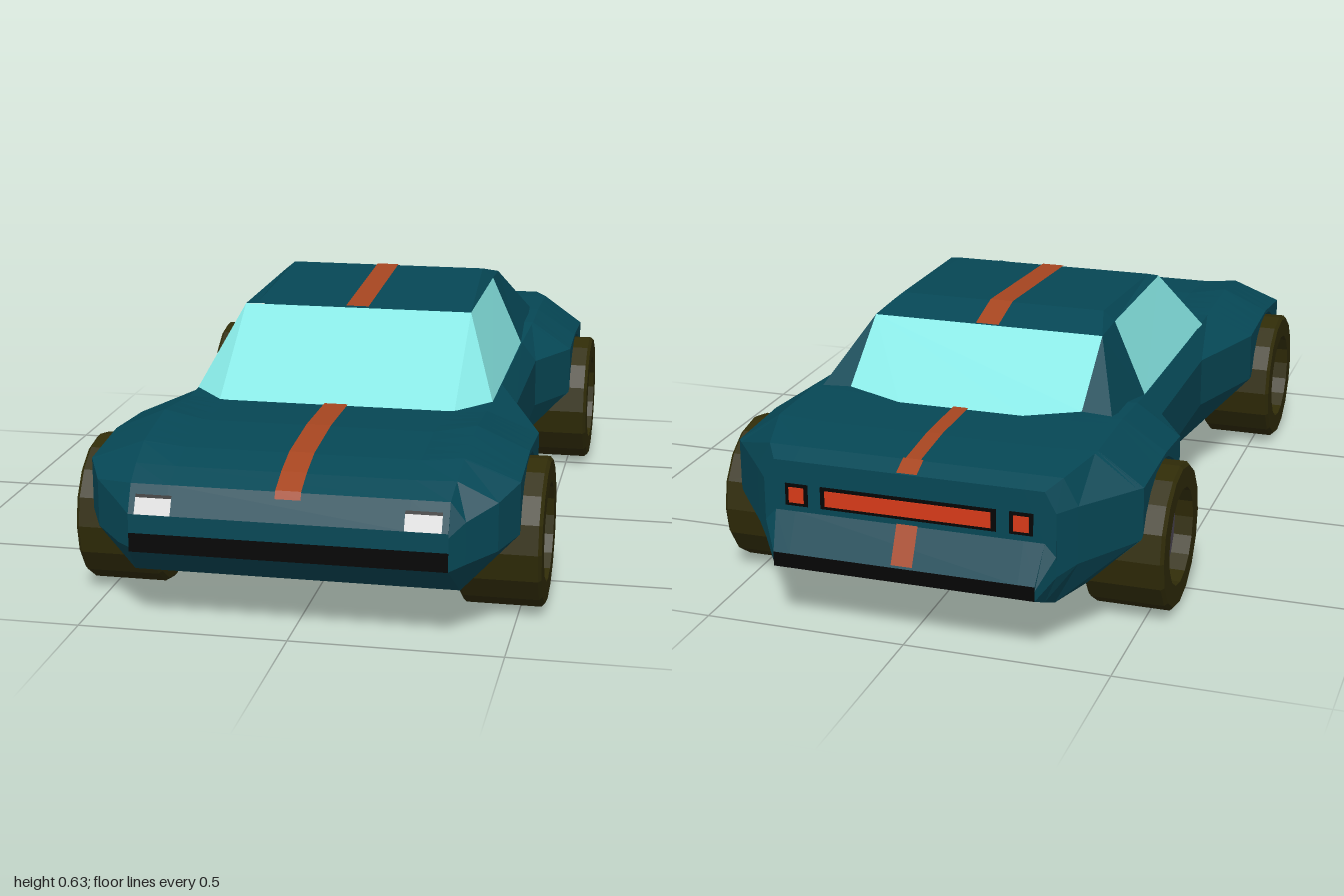
import * as THREE from 'three';

const mat = (name, color) => {
  const m = new THREE.MeshStandardMaterial({ color });
  m.name = name;
  return m;
};
const M = {
  body: mat('teal paint', 0x064755),
  glass: mat('pale glass', 0x86e6e3),
  stripe: mat('orange stripe', 0xa64520),
  tyre: mat('dark tyre', 0x302c08),
  hub: mat('grey hub', 0x4c4753),
  black: mat('black trim', 0x050505),
  red: mat('red panel', 0xd83a18),
  lamp: mat('lamp white', 0xdcdcdc),
};

// Wheel layout
const WHEEL_Z = [0.645, -0.595], WHEEL_Y = 0.178, WHEEL_R = 0.18, ARCH_R = 0.188;

// Body stations: z, bottom x/y, side x, side low y, side high y, shoulder x/y, middle y
const STATIONS = [
  [1.0, 0.37, 0.19, 0.37, 0.2, 0.27, 0.37, 0.28, 0.28],
  [0.97, 0.375, 0.165, 0.405, 0.2, 0.3, 0.37, 0.345, 0.345],
  [0.91, 0.385, 0.115, 0.47, 0.215, 0.33, 0.375, 0.375, 0.372],
  [0.83, 0.385, 0.115, 0.51, 0.23, 0.355, 0.38, 0.405, 0.395],
  [0.645, 0.385, 0.115, 0.51, 0.23, 0.375, 0.385, 0.43, 0.409],
  [0.44, 0.385, 0.115, 0.51, 0.23, 0.36, 0.38, 0.41, 0.406],
  [0.18, 0.37, 0.115, 0.425, 0.23, 0.36, 0.385, 0.41, 0.405],
  [-0.28, 0.37, 0.115, 0.425, 0.23, 0.36, 0.385, 0.412, 0.41],
  [-0.42, 0.385, 0.115, 0.51, 0.235, 0.365, 0.4, 0.44, 0.435],
  [-0.56, 0.385, 0.115, 0.51, 0.235, 0.375, 0.4, 0.447, 0.44],
  [-0.77, 0.385, 0.115, 0.51, 0.235, 0.365, 0.4, 0.443, 0.438],
  [-0.91, 0.34, 0.115, 0.395, 0.22, 0.36, 0.36, 0.425, 0.425],
  [-0.955, 0.33, 0.135, 0.357, 0.2, 0.355, 0.33, 0.405, 0.405],
  [-0.956, 0.33, 0.135, 0.357, 0.2, 0.25, 0.33, 0.28, 0.28],
  [-1.0, 0.32, 0.155, 0.32, 0.165, 0.18, 0.32, 0.19, 0.19],
];

function sample(z) {
  for (let i = 0; i < STATIONS.length - 1; i++) {
    const a = STATIONS[i], b = STATIONS[i + 1];
    if (z <= a[0] && z >= b[0]) {
      const t = (a[0] - z) / (a[0] - b[0]);
      return a.map((v, k) => v + (b[k] - v) * t);
    }
  }
}

function archHeight(z) {
  for (const c of WHEEL_Z) {
    const d = Math.abs(z - c);
    if (d <= ARCH_R + 1e-5) return WHEEL_Y + Math.sqrt(Math.max(0, ARCH_R ** 2 - d * d));
  }
  return 0;
}

// Half outline of the body at z, raised over the wheels, then mirrored
function ring(z) {
  let [, bx, yb, w, yl, yu, sx, yt, ym] = sample(z);
  const h = archHeight(z);
  if (h > yb) {
    bx += (w - bx) * Math.min(1, (h - yb) / (yl - yb));
    yb = h;
    yl = Math.max(yl, h + 0.002);
    yu = Math.max(yu, h + 0.005);
  }
  const half = [[bx, yb], [w, yl], [w, yu], [sx, yt], [0.28, ym]];
  const other = half.map(([x, y]) => [-x, y]).reverse();
  return [...half, ...other].map(([x, y]) => [x, y, z]);
}

function flatGeometry(positions) {
  const g = new THREE.BufferGeometry();
  g.setAttribute('position', new THREE.Float32BufferAttribute(positions, 3));
  g.computeVertexNormals();
  return g;
}

function bodyGeometry() {
  const zs = STATIONS.map((s) => s[0]);
  for (const c of WHEEL_Z) {
    zs.push(c + ARCH_R + 0.001, c - ARCH_R - 0.001);
    for (let i = 0; i <= 10; i++) zs.push(c + ARCH_R * Math.cos((i * Math.PI) / 10));
  }
  zs.sort((a, b) => b - a);
  const rings = zs.map(ring), n = rings[0].length, out = [];
  for (let i = 0; i < rings.length - 1; i++) {
    for (let j = 0; j < n; j++) {
      const k = (j + 1) % n;
      const a = rings[i][j], b = rings[i][k], c = rings[i + 1][k], d = rings[i + 1][j];
      out.push(...a, ...d, ...c, ...a, ...c, ...b);
    }
  }
  const first = rings[0], last = rings[rings.length - 1];
  for (let j = 1; j < n - 1; j++) {
    out.push(...first[0], ...first[j], ...first[j + 1]);
    out.push(...last[0], ...last[j + 1], ...last[j]);
  }
  return flatGeometry(out);
}

// Flat convex panel whose face is turned away from the middle of the car
function panel(group, name, material, pts) {
  const v = pts.map((p) => new THREE.Vector3(...p));
  const normal = v[1].clone().sub(v[0]).cross(v[2].clone().sub(v[0]));
  const mid = v.reduce((s, p) => s.add(p), new THREE.Vector3()).divideScalar(v.length);
  if (normal.dot(mid.sub(new THREE.Vector3(0, 0.25, 0))) < 0) v.reverse();
  const out = [];
  for (let i = 1; i < v.length - 1; i++) {
    for (const p of [v[0], v[i], v[i + 1]]) out.push(p.x, p.y, p.z);
  }
  const mesh = new THREE.Mesh(flatGeometry(out), material);
  mesh.name = name;
  group.add(mesh);
}

function box(group, name, material, size, pos) {
  const mesh = new THREE.Mesh(new THREE.BoxGeometry(...size), material);
  mesh.name = name;
  mesh.position.set(...pos);
  group.add(mesh);
}

const flip = (p) => [-p[0], p[1], p[2]];
const across = (a, b) => [a, b, flip(b), flip(a)];

function buildCabin(g) {
  const A = [0.3, 0.405, 0.45], B = [0.3, 0.595, 0.17], C = [0.385, 0.405, 0.36];
  const D = [0.385, 0.405, -0.28], E = [0.3, 0.597, -0.275], F = [0.3, 0.593, -0.39];
  const G = [0.375, 0.452, -0.565], H = [0.3, 0.456, -0.565], K = [0.16, 0.44, -0.595];
  const R1 = [0.27, 0.597, 0.17], R2 = [0.27, 0.622, -0.275];
  panel(g, 'windscreen', M.glass, across(A, B));
  panel(g, 'rearWindow', M.glass, [F, H, K, flip(K), flip(H), flip(F)]);
  panel(g, 'roof', M.body, across(R1, R2));
  panel(g, 'roofRear', M.body, [F, R2, flip(R2), flip(F)]);
  const sides = [
    ['quarterGlass', M.glass, [A, C, B]], ['sideWindow', M.glass, [C, D, E, B]],
    ['rearPillar', M.body, [D, G, F]], ['rearPillarTop', M.body, [D, F, E]],
    ['rearPillarEdge', M.body, [G, H, F]], ['roofEdge', M.body, [B, E, R2, R1]],
    ['roofCorner', M.body, [E, F, R2]],
  ];
  for (const [name, material, pts] of sides) {
    panel(g, name + 'Left', material, pts);
    panel(g, name + 'Right', material, pts.map(flip));
  }
}

// Centre stripe laid over a run of [z, y] points
function stripe(g, name, w, run) {
  for (let i = 0; i < run.length - 1; i++) {
    const [a, b] = [run[i], run[i + 1]].map(([z, y]) => [w, y + 0.003, z]);
    panel(g, name, M.stripe, across(a, b));
  }
}

function buildWheel(x, z) {
  const g = new THREE.Group(), h = 0.0975;
  const profile = [[0.12, -h], [0.172, -h], [WHEEL_R, 0.008 - h], [WHEEL_R, h - 0.008], [0.172, h], [0.12, h], [0.12, -h]];
  const lathe = new THREE.LatheGeometry(profile.map((p) => new THREE.Vector2(...p)), 16).toNonIndexed();
  lathe.computeVertexNormals();
  const tyre = new THREE.Mesh(lathe, M.tyre);
  tyre.name = 'tyre';
  const hub = new THREE.Mesh(new THREE.CylinderGeometry(0.121, 0.121, 2 * h - 0.09, 16), M.hub);
  hub.name = 'hub';
  g.add(tyre, hub);
  g.rotation.z = Math.PI / 2;
  g.position.set(x, WHEEL_Y, z);
  g.name = (z > 0 ? 'front' : 'rear') + 'Wheel' + (x > 0 ? 'Left' : 'Right');
  return g;
}

export function createModel() {
  const car = new THREE.Group();
  car.name = 'car';
  const shell = new THREE.Mesh(bodyGeometry(), M.body);
  shell.name = 'bodyShell';
  car.add(shell);
  buildCabin(car);

  // Stripes on bonnet, roof, boot lid and tail
  stripe(car, 'bonnetStripe', 0.03, [[0.979, 0.327], [0.97, 0.345], [0.91, 0.372], [0.83, 0.395], [0.645, 0.409], [0.44, 0.406]]);
  stripe(car, 'roofStripe', 0.03, [[0.17, 0.597], [-0.275, 0.622], [-0.39, 0.593]]);
  stripe(car, 'bootStripe', 0.019, [[-0.59, 0.44], [-0.77, 0.438], [-0.91, 0.425]]);
  stripe(car, 'bootLipStripe', 0.025, [[-0.91, 0.425], [-0.955, 0.405]]);
  stripe(car, 'tailStripe', 0.026, [[-0.958, 0.28], [-1.0, 0.194]]);

  // Nose and tail details
  box(car, 'frontGrille', M.black, [0.74, 0.045, 0.004], [0, 0.212, 0.999]);
  box(car, 'rearBumperStrip', M.black, [0.64, 0.035, 0.004], [0, 0.173, -0.999]);
  box(car, 'tailLightBarFrame', M.black, [0.43, 0.054, 0.005], [0, 0.322, -0.956]);
  box(car, 'tailLightBar', M.red, [0.406, 0.038, 0.006], [0, 0.322, -0.958]);
  const noseZ = (y) => 1.003 - ((y - 0.28) * 0.03) / 0.065;
  for (const s of [1, -1]) {
    box(car, 'tailLightFrame', M.black, [0.056, 0.054, 0.005], [s * 0.275, 0.322, -0.956]);
    box(car, 'tailLight', M.red, [0.037, 0.038, 0.006], [s * 0.275, 0.322, -0.958]);
    for (const [name, m, y0, y1] of [['headlight', M.lamp, 0.281, 0.317], ['headlightLid', M.black, 0.317, 0.324]]) {
      panel(car, name, m, [[s * 0.27, y0, noseZ(y0)], [s * 0.355, y0, noseZ(y0)], [s * 0.355, y1, noseZ(y1)], [s * 0.27, y1, noseZ(y1)]]);
    }
  }

  // Floor between the wheels, red underside and centre rib
  for (const z of WHEEL_Z) box(car, 'axleFloor', M.body, [0.72, 0.004, 0.39], [0, 0.116, z]);
  const under = [[0.24, 0.86], [0.285, 0.35], [0.285, -0.3], [0.25, -0.76], [0.22, -0.79]].map(([x, z]) => [x, 0.111, z]);
  panel(car, 'redUnderside', M.red, [...under, ...under.map(flip).reverse()]);
  const rib = [[0.01, 0.42], [0.022, 0.4], [0.022, -0.37], [0.01, -0.39]].map(([x, z]) => [x, 0.108, z]);
  panel(car, 'undersideRib', M.body, [...rib, ...rib.map(flip).reverse()]);

  for (const z of WHEEL_Z) for (const s of [1, -1]) car.add(buildWheel(s * 0.4625, z));
  return car;
}
